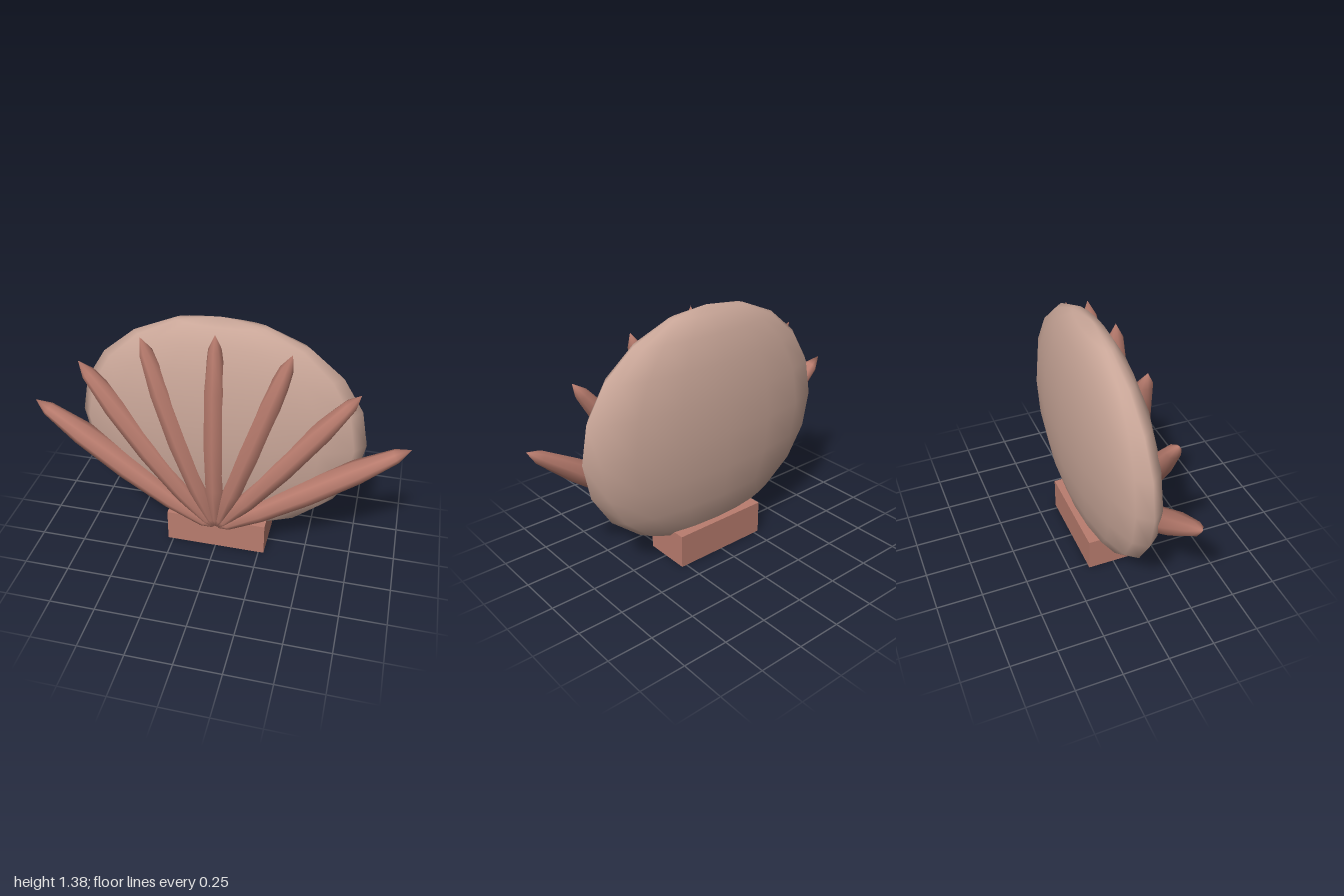
import * as THREE from 'three';

const shellMaterial = new THREE.MeshStandardMaterial({ color: 0xc9a698 });
const ribMaterial = new THREE.MeshStandardMaterial({ color: 0xb97c6e });

function addMesh(parent, name, geometry, material) {
  const mesh = new THREE.Mesh(geometry, material);
  mesh.name = name;
  parent.add(mesh);
  return mesh;
}

export function createModel() {
  const model = new THREE.Group();
  model.name = 'scallopShell';

  // Flattened shell body
  const body = new THREE.SphereGeometry(1, 16, 10).scale(0.775, 0.648, 0.185);
  addMesh(model, 'shellBody', body, shellMaterial).position.set(0, 0.737, -0.01);

  // Hinge block the shell stands on
  const base = new THREE.BoxGeometry(0.56, 0.19, 0.266);
  addMesh(model, 'base', base, ribMaterial).position.set(0, 0.095, -0.01);

  // Seven spindle-shaped ribs fanning out from one point at the hinge
  const ribs = new THREE.Group();
  ribs.name = 'ribs';
  ribs.position.set(0, 0.122, 0.113);
  model.add(ribs);
  const length = 1.226;
  const rib = new THREE.SphereGeometry(1, 8, 6)
    .scale(0.07, length / 2, 0.084)
    .translate(0, length / 2, 0);
  for (let i = -3; i <= 3; i++) {
    addMesh(ribs, `rib${i + 4}`, rib, ribMaterial).rotation.z = -i * 0.3167;
  }

  return model;
}
